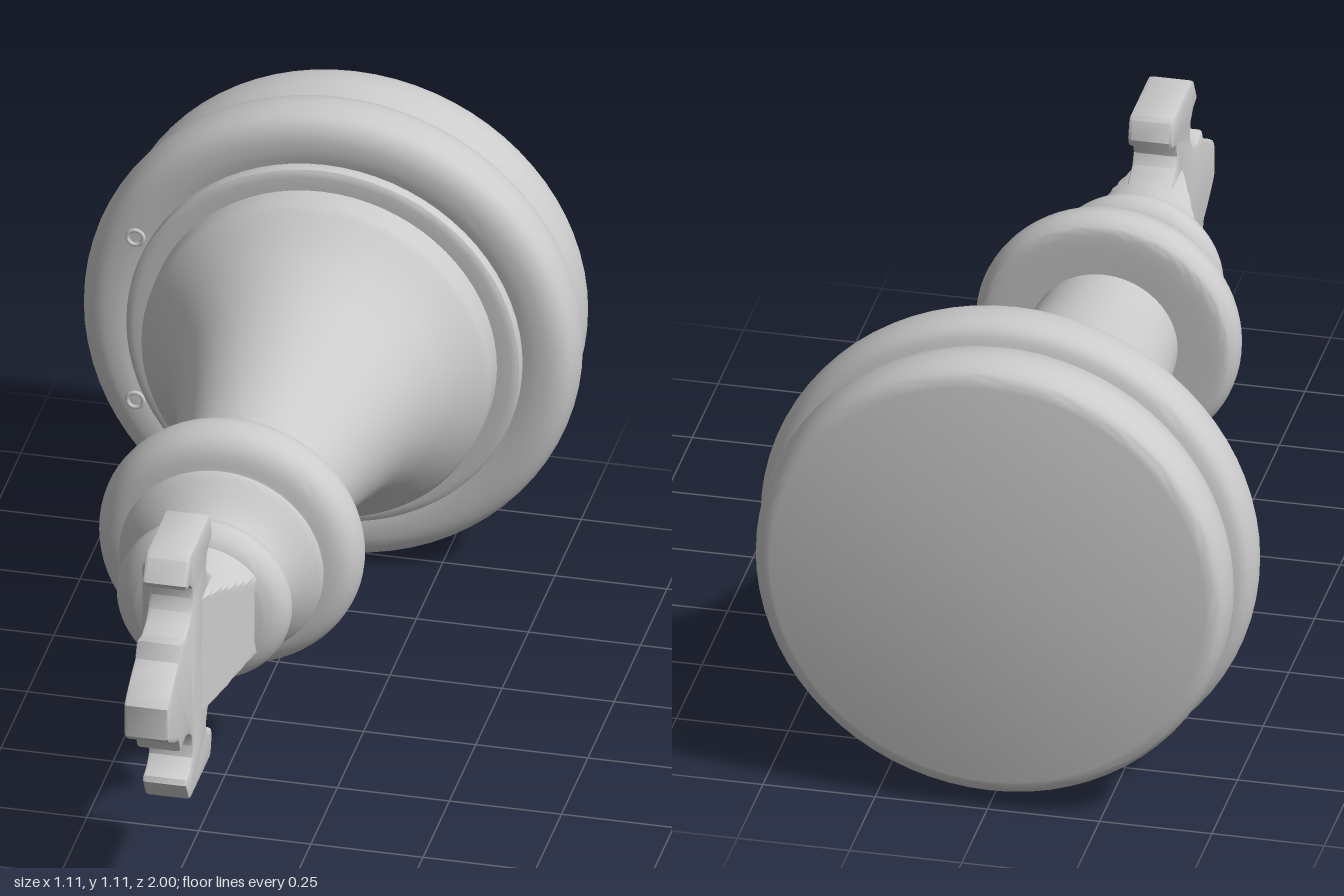
import * as THREE from 'three';
import { toCreasedNormals } from 'three/addons/utils/BufferGeometryUtils.js';

const AXIS_Y = 0.555;

export function createModel() {
  const model = new THREE.Group();
  const piece = new THREE.Group();
  piece.name = 'kingPiece';
  piece.position.y = AXIS_Y;
  model.add(piece);
  const material = new THREE.MeshStandardMaterial({ color: 0xcccccc });

  function add(name, geometry) {
    const mesh = new THREE.Mesh(geometry, material);
    mesh.name = name;
    piece.add(mesh);
    return mesh;
  }

  // Smooth run through [radius, z] pairs
  const run = (pts, n = 16) =>
    new THREE.SplineCurve(pts.map(p => new THREE.Vector2(...p))).getPoints(n);

  // Turned part about the z axis, made of several smooth runs
  function turned(name, runs, segments = 72) {
    const pts = [new THREE.Vector2(0, runs[0][0].y), ...runs.flat()];
    pts.push(new THREE.Vector2(0, pts[pts.length - 1].y));
    const clean = pts.filter((p, i) => i === 0 || p.distanceTo(pts[i - 1]) > 1e-4);
    const g = new THREE.LatheGeometry(clean, segments).rotateX(Math.PI / 2);
    return add(name, toCreasedNormals(g, 0.6));
  }

  // Two-roll foot with a step above it
  turned('base', [
    run([[0.485, -1], [0.51, -0.99], [0.525, -0.96], [0.528, -0.91], [0.515, -0.865], [0.506, -0.845]]),
    run([[0.506, -0.845], [0.535, -0.832], [0.551, -0.8], [0.552, -0.76], [0.54, -0.72], [0.51, -0.7], [0.47, -0.696], [0.44, -0.7]], 22),
    run([[0.44, -0.7], [0.44, -0.682], [0.43, -0.672], [0.385, -0.67]], 8),
  ]);

  // Flared stem
  turned('stem', [
    run([[0.39, -0.68], [0.388, -0.605]], 1),
    run([[0.385, -0.6], [0.34, -0.545], [0.305, -0.49], [0.265, -0.4], [0.212, -0.2], [0.178, 0], [0.163, 0.15]], 28),
  ]);

  // Collar disc, cupped flange and upper bead
  turned('collar', [
    run([[0.16, 0.136], [0.25, 0.136], [0.28, 0.145], [0.295, 0.18], [0.284, 0.225], [0.255, 0.25], [0.21, 0.26]], 22),
    run([[0.205, 0.262], [0.222, 0.278], [0.228, 0.288], [0.218, 0.3]], 8),
    run([[0.218, 0.3], [0.178, 0.34], [0.155, 0.375], [0.147, 0.4]], 10),
    run([[0.147, 0.4], [0.175, 0.41], [0.193, 0.435], [0.192, 0.46], [0.172, 0.487], [0.14, 0.502]], 16),
  ]);

  // Neck, pared flat on both sides so that it tapers into the cross
  const neckPts = run([[0.16, 0.49], [0.152, 0.53], [0.15, 0.58], [0.152, 0.63], [0.15, 0.7]], 12);
  neckPts.push(new THREE.Vector2(0, 0.7));
  const neck = new THREE.LatheGeometry(neckPts, 72).rotateX(Math.PI / 2);
  const pos = neck.attributes.position;
  for (let i = 0; i < pos.count; i++) {
    const limit = THREE.MathUtils.mapLinear(pos.getZ(i), 0.49, 0.7, 0.13, 0.042);
    pos.setX(i, THREE.MathUtils.clamp(pos.getX(i), -limit, limit));
  }
  add('neck', toCreasedNormals(neck, 0.5));

  // Half outline of the cross as [z, height above axis]; mirrored for the other half
  const half = [
    [0.57, 0.135], [0.6, 0.158], [0.625, 0.172], [0.637, 0.195], [0.63, 0.222], [0.61, 0.232],
    [0.588, 0.238], [0.582, 0.255], [0.595, 0.297], [0.605, 0.305], [0.785, 0.305],
    [0.8, 0.297], [0.828, 0.25], [0.822, 0.238], [0.79, 0.23], [0.768, 0.212], [0.763, 0.185],
    [0.775, 0.155], [0.8, 0.136], [0.835, 0.125], [0.862, 0.13], [0.88, 0.133],
    [0.897, 0.098], [0.93, 0.084], [0.965, 0.065], [0.99, 0.05], [1, 0.038],
  ];
  const outline = [...half, ...half.map(([z, h]) => [z, -h]).reverse()];
  const shape = new THREE.Shape(outline.map(p => new THREE.Vector2(...p)).reverse());
  const bevel = 0.008;
  const cross = new THREE.ExtrudeGeometry(shape, {
    depth: 0.1 - 2 * bevel, bevelEnabled: true, bevelSize: bevel,
    bevelThickness: bevel, bevelOffset: -bevel, bevelSegments: 2,
  });
  cross.translate(0, 0, -0.05 + bevel).rotateY(-Math.PI / 2);
  add('cross', toCreasedNormals(cross, 0.6));

  // Two small pit rims on the front of the foot
  for (const side of [1, -1]) {
    const rim = add('pitRim', new THREE.TorusGeometry(0.018, 0.005, 8, 20));
    rim.position.set(-0.423, side * 0.204, -0.696);
  }
  return model;
}
